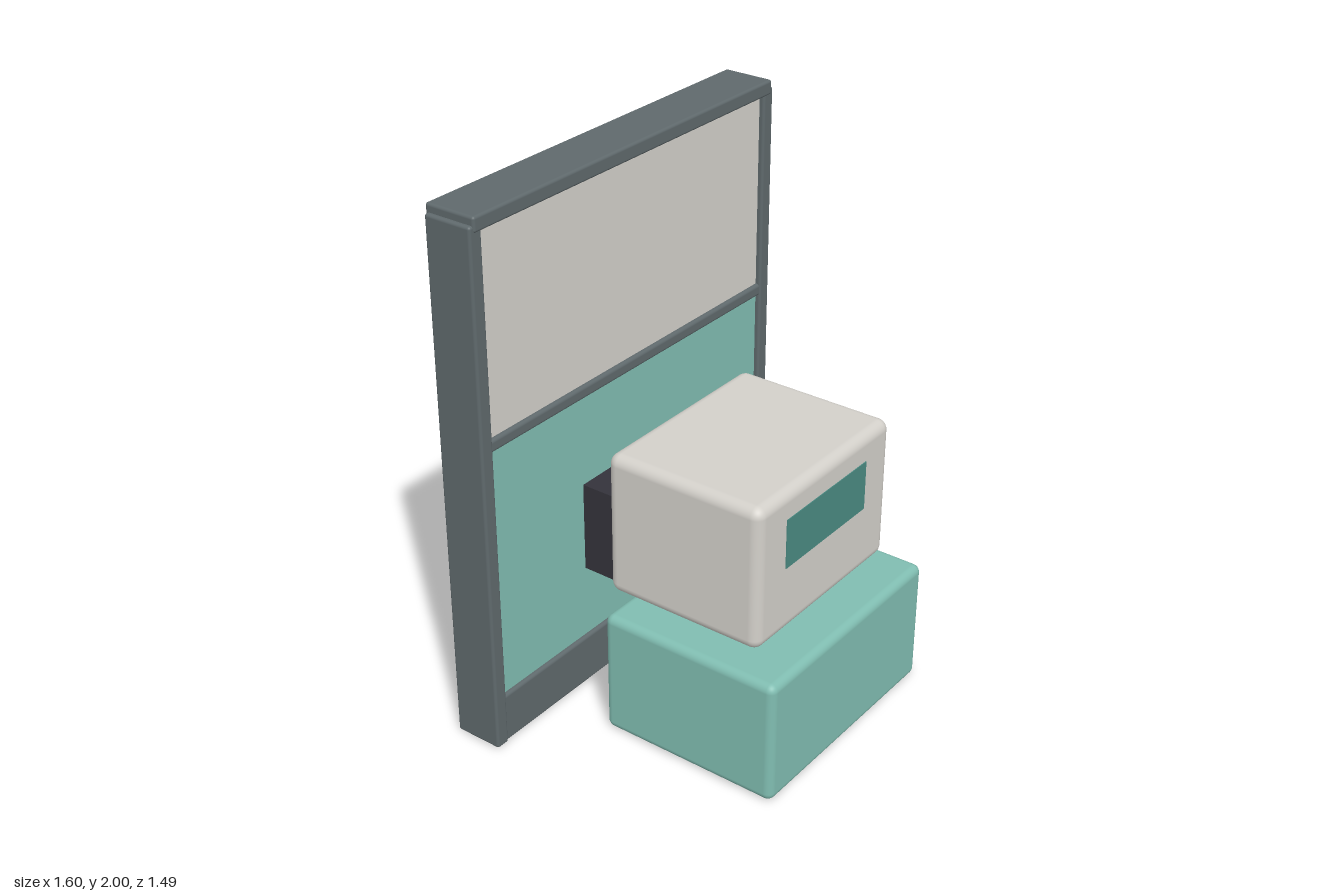
import * as THREE from 'three';
import { RoundedBoxGeometry } from 'three/addons/geometries/RoundedBoxGeometry.js';

const material = (name, color) => {
  const m = new THREE.MeshStandardMaterial({ color });
  m.name = name;
  return m;
};

export function createModel() {
  const teal = material('teal', 0x80bdb1);
  const slate = material('slate grey', 0x5f696c);
  const light = material('warm light grey', 0xd3d0ca);
  const dark = material('charcoal', 0x34333b);
  const green = material('bright green', 0x78d694);
  const gold = material('gold', 0xd0b75a);
  const glass = material('dark teal', 0x4a8a82);

  const model = new THREE.Group();
  model.name = 'wallMountedMachine';

  function add(name, geometry, mat, parent = model) {
    const mesh = new THREE.Mesh(geometry, mat);
    mesh.name = name;
    parent.add(mesh);
    return mesh;
  }
  // Box given by its limits on each axis, with an optional edge radius
  function box(name, mat, [x0, x1], [y0, y1], [z0, z1], radius = 0, parent = model) {
    const size = [x1 - x0, y1 - y0, z1 - z0];
    const geometry = radius
      ? new RoundedBoxGeometry(...size, 4, radius)
      : new THREE.BoxGeometry(...size);
    const mesh = add(name, geometry, mat, parent);
    mesh.position.set((x0 + x1) / 2, (y0 + y1) / 2, (z0 + z1) / 2);
    return mesh;
  }
  const mirrored = (s, a, b) => (s > 0 ? [a, b] : [-b, -a]);

  // Wall: frame and two infill panels
  const wall = new THREE.Group();
  wall.name = 'wall';
  model.add(wall);
  for (const s of [-1, 1]) {
    box('wallPost', slate, mirrored(s, 0.745, 0.8), [0, 1.97], [-0.365, -0.178], 0.01, wall);
  }
  box('topRail', slate, [-0.785, 0.785], [1.945, 2], [-0.373, -0.173], 0.01, wall);
  box('middleRail', slate, [-0.765, 0.765], [1.163, 1.21], [-0.36, -0.183], 0.012, wall);
  box('bottomRail', slate, [-0.765, 0.765], [0, 0.195], [-0.36, -0.183], 0.012, wall);
  box('upperPanel', light, [-0.75, 0.75], [1.2, 1.955], [-0.345, -0.198], 0, wall);
  box('lowerPanel', teal, [-0.75, 0.75], [0.18, 1.18], [-0.345, -0.198], 0, wall);

  // Front machine: base cabinet, upper housing and window
  box('baseCabinet', teal, [-0.47, 0.467], [0, 0.475], [0.038, 0.745], 0.03);
  box('upperHousing', light, [-0.395, 0.39], [0.52, 1.065], [0, 0.625], 0.04);
  box('window', glass, [-0.24, 0.235], [0.777, 0.965], [0.62, 0.628]);

  // Passage through the wall and the feed tray in it
  box('passage', dark, [-0.282, 0.282], [0.476, 0.82], [-0.37, 0.012]);
  box('passageBack', dark, [-0.285, 0.285], [0.476, 0.91], [-0.45, -0.365]);
  box('feedTray', light, [-0.25, 0.25], [0.45, 0.475], [-0.595, 0.05]);
  const lip = add('trayLip', new THREE.CapsuleGeometry(0.0145, 0.46, 4, 12), light);
  lip.rotation.z = Math.PI / 2;
  lip.position.set(0, 0.465, -0.59);

  // Outlet surround on the back, with screws and guide arms
  const outlet = new THREE.Group();
  outlet.name = 'outlet';
  model.add(outlet);
  box('outletCap', green, [-0.362, 0.362], [0.913, 0.94], [-0.487, -0.374], 0.004, outlet);
  for (const s of [-1, 1]) {
    box('outletPillar', slate, mirrored(s, 0.28, 0.358), [0.433, 0.915], [-0.481, -0.374], 0.018, outlet);
    box('guideArm', gold, mirrored(s, 0.259, 0.276), [0.475, 0.55], [-0.747, -0.44], 0, outlet);
    for (const y of [0.81, 0.5]) {
      const screw = add('screw', new THREE.SphereGeometry(0.013, 12, 8), light, outlet);
      screw.position.set(s * 0.325, y, -0.481);
    }
  }

  // Flat chevron above the tray, pointing backwards
  const half = [[0.05, 0.625], [0.085, 0.605], [0.085, 0.55], [0.045, 0.612]];
  const outline = [
    [0, 0.697], ...half, [0, 0.65],
    ...half.slice().reverse().map(([x, z]) => [-x, z]),
  ];
  const shape = new THREE.Shape(outline.map(([x, z]) => new THREE.Vector2(x, z)));
  const chevron = new THREE.ExtrudeGeometry(shape, { depth: 0.02, bevelEnabled: false });
  chevron.rotateX(-Math.PI / 2);
  add('chevron', chevron, gold, outlet).position.y = 0.495;

  return model;
}
